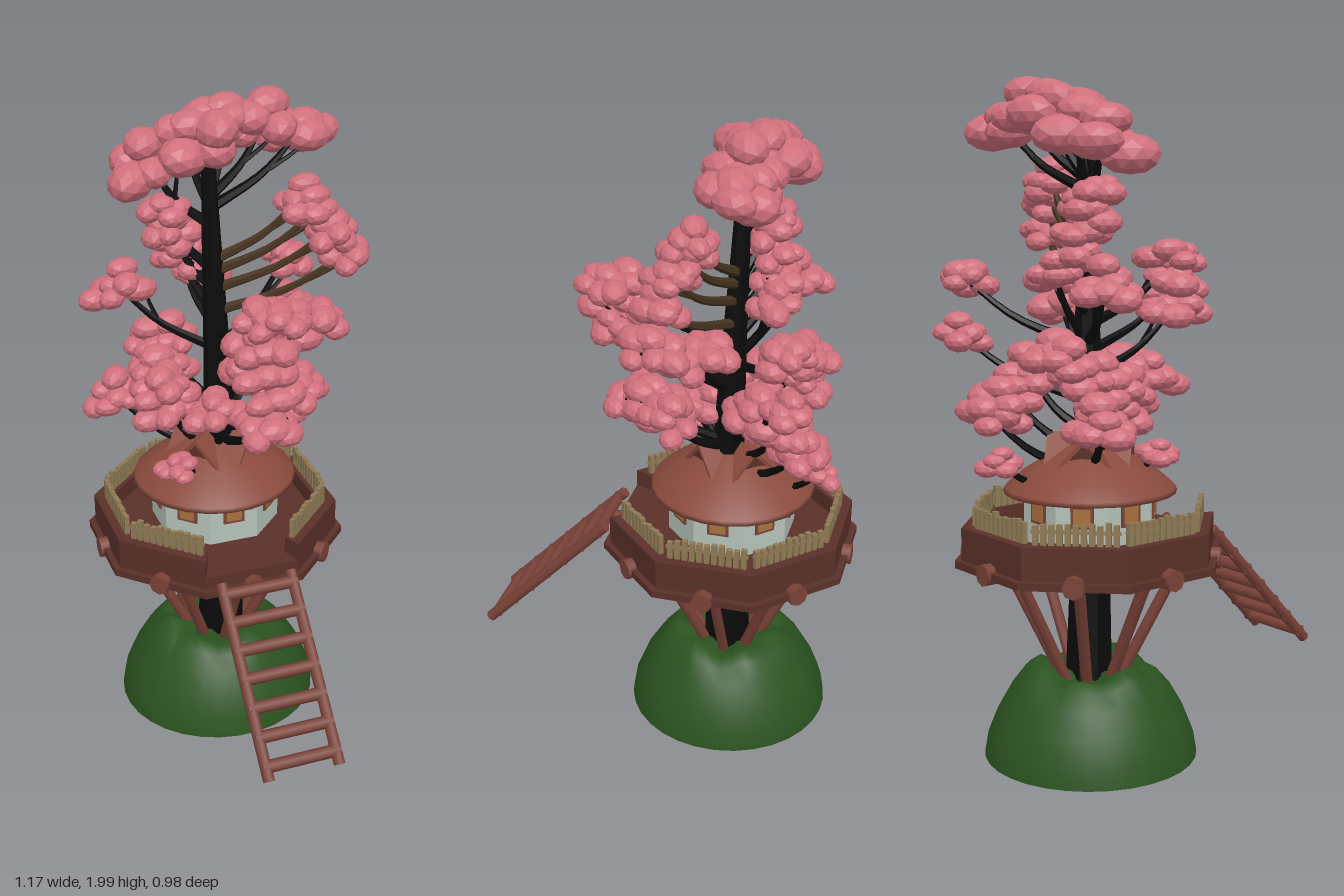
import * as THREE from 'three';
import { mergeGeometries } from 'three/addons/utils/BufferGeometryUtils.js';

const V = (x, y, z) => new THREE.Vector3(x, y, z);
const mat = (color, flatShading = false, side = THREE.FrontSide) =>
  new THREE.MeshStandardMaterial({ color, flatShading, side });
const outline = points => points.map(p => new THREE.Vector2(...p));

const CX = -0.18; // tree axis
const STEP = Math.PI / 4; // eight-sided house and platform

export function createModel() {
  const model = new THREE.Group();
  const wood = mat(0x7a4238), darkWood = mat(0x5a3029, true), bark = mat(0x0c0b0b, true);
  const twigBark = mat(0x46331f, true), pink = mat(0xcf6f7c, true), fenceMat = mat(0x8f7a55);
  const roofMat = mat(0x8a4a3d, false, THREE.DoubleSide), plaster = mat(0xb4c2b8, true), pane = mat(0xa8713c);

  let seed = 7;
  const rnd = () => (seed = (seed * 16807) % 2147483647) / 2147483647;

  function add(parent, geo, material, name, x = 0, y = 0, z = 0) {
    const m = new THREE.Mesh(geo, material);
    m.name = name;
    m.position.set(x, y, z);
    parent.add(m);
    return m;
  }
  function rod(parent, a, b, r, material, name) {
    const m = add(parent, new THREE.CylinderGeometry(r, r, a.distanceTo(b), 8), material, name);
    m.position.copy(a).lerp(b, 0.5);
    m.quaternion.setFromUnitVectors(V(0, 1, 0), b.clone().sub(a).normalize());
  }
  function extrude(points, depth) {
    return new THREE.ExtrudeGeometry(new THREE.Shape(outline(points)), { depth, bevelEnabled: false });
  }
  // Tube whose radius tapers from r0 to r1
  function taperedTube(points, r0, r1, segs, sides) {
    const curve = new THREE.CatmullRomCurve3(points);
    const geo = new THREE.TubeGeometry(curve, segs, 1, sides);
    const p = geo.attributes.position, c = V(), v = V();
    for (let i = 0; i < p.count; i++) {
      const t = Math.floor(i / (sides + 1)) / segs;
      curve.getPointAt(t, c);
      v.fromBufferAttribute(p, i).sub(c).multiplyScalar(r0 + (r1 - r0) * t).add(c);
      p.setXYZ(i, v.x, v.y, v.z);
    }
    geo.computeVertexNormals();
    return geo;
  }

  // Hollow hill with an uneven crest
  const hillGeo = new THREE.LatheGeometry(outline([[0.318, 0], [0.308, 0.06], [0.28, 0.13], [0.24, 0.2],
    [0.2, 0.25], [0.165, 0.272], [0.12, 0.255], [0.001, 0.23]]), 32);
  const hp = hillGeo.attributes.position;
  for (let i = 0; i < hp.count; i++) {
    const y = hp.getY(i), a = Math.atan2(hp.getZ(i), hp.getX(i));
    const w = Math.max(0, y - 0.18) / 0.09;
    hp.setY(i, y + w * (0.014 * Math.sin(a * 3 + 2) + 0.012 * Math.sin(a * 7)));
  }
  hillGeo.computeVertexNormals();
  add(model, hillGeo, mat(0x2b5320, false, THREE.DoubleSide), 'hill', CX);

  // Platform and house share one slightly turned frame
  const house = new THREE.Group();
  house.name = 'treeHouse';
  house.position.x = CX;
  house.rotation.y = -0.1;
  model.add(house);
  const octagon = (r, h, y, m, name) => add(house, new THREE.CylinderGeometry(r, r, h, 8), m, name, 0, y);
  octagon(0.405, 0.022, 0.604, darkWood, 'platformBase');
  octagon(0.35, 0.05, 0.632, darkWood, 'deck');
  octagon(0.2, 0.18, 0.735, plaster, 'houseWalls');

  const sin = Math.sin(STEP / 2), cos = Math.cos(STEP / 2);
  for (let k = 0; k < 8; k++) {
    const side = new THREE.Group(); // local +z points out of this face
    side.name = 'side' + (k + 1);
    side.rotation.y = (k + 0.5) * STEP;
    house.add(side);
    const isEntry = k === 1;

    // Mitred parapet, lower at the ladder
    const o = 0.385, n = 0.325;
    const wall = extrude([[-o * sin, -o * cos], [o * sin, -o * cos], [n * sin, -n * cos], [-n * sin, -n * cos]],
      isEntry ? 0.05 : 0.105);
    wall.rotateX(-Math.PI / 2);
    add(side, wall, darkWood, 'parapet', 0, 0.605);

    // Beam under the deck and strut down to the hill
    rod(side, V(0, 0.605, 0.15), V(0, 0.605, 0.384), 0.032, wood, 'floorBeam');
    rod(side, V(0, 0.16, 0.05), V(0, 0.6, 0.27), 0.017, wood, 'strut');

    // Picket fence
    if (!isEntry) {
      const fence = new THREE.Group();
      fence.name = 'fence';
      fence.position.z = 0.347 * cos;
      side.add(fence);
      add(fence, new THREE.BoxGeometry(0.25, 0.01, 0.008), fenceMat, 'rail', 0, 0.747);
      for (let i = -5; i <= 5; i++) {
        const h = 0.06 + rnd() * 0.014;
        add(fence, new THREE.BoxGeometry(0.016, h, 0.015), fenceMat, 'picket', i * 0.0225, 0.703 + h / 2);
      }
    }

    // Window
    add(side, new THREE.BoxGeometry(0.066, 0.066, 0.012), wood, 'windowFrame', 0, 0.757, 0.2 * cos);
    add(side, new THREE.BoxGeometry(0.05, 0.05, 0.016), pane, 'windowPane', 0, 0.757, 0.2 * cos);

    // Gabled dormer on every other face
    if (k % 2 === 0) {
      const chevron = [[-0.09, 0], [0, 0.095], [0.09, 0], [0.09, 0.016], [0, 0.111], [-0.09, 0.016]];
      add(side, extrude(chevron, 0.125), roofMat, 'dormerRoof', 0, 0.862);
      add(side, extrude([[-0.09, 0], [0.09, 0], [0, 0.095]], 0.01), darkWood, 'dormerGable', 0, 0.862, 0.1);
    }
  }

  // Rounded roof
  add(house, new THREE.LatheGeometry(outline([[0.18, 0.803], [0.255, 0.8], [0.25, 0.814], [0.205, 0.853],
    [0.15, 0.888], [0.08, 0.93], [0, 0.965]]), 24), roofMat, 'roof');

  // Ladder
  const ladder = new THREE.Group();
  ladder.name = 'ladder';
  ladder.rotation.y = 1.5 * STEP;
  house.add(ladder);
  const top = V(0, 0.645, 0.385), foot = V(0, 0.222, 0.795);
  for (const s of [-1, 1]) {
    const off = V(s * 0.11, 0, 0);
    rod(ladder, top.clone().add(off), foot.clone().add(off), 0.018, wood, 'ladderRail');
  }
  for (let i = 0; i < 7; i++) {
    const p = top.clone().lerp(foot, 0.06 + i * 0.145);
    rod(ladder, p.clone().setX(-0.122), p.clone().setX(0.122), 0.019, wood, 'rung');
  }

  // Trunk, swaying slightly with height
  const trunkAt = y => V(CX + 0.02 * Math.sin(y * 2.2), y, -0.01);
  const trunkPts = [0.15, 0.5, 0.9, 1.25, 1.55, 1.88].map(trunkAt);
  add(model, taperedTube(trunkPts, 0.077, 0.018, 24, 8), bark, 'trunk');

  // Branch and twig ending in a rounded dome of blossom puffs
  function blossom(c, r, density = 100, material = bark) {
    const start = trunkAt(Math.max(0.8, c.y - 0.2));
    const end = c.clone().add(V(0, -r * 0.2, 0));
    const bend = start.clone().lerp(end, 0.6).add(V(0, -0.03, 0));
    add(model, taperedTube([start, bend, end], 0.017, 0.007, 8, 6), material, 'branch');
    const tip = c.clone().add(V(r * 0.5, 0, -r * 0.5));
    const fork = bend.clone().lerp(tip, 0.5).add(V(0, -0.01, 0));
    add(model, taperedTube([bend, fork, tip], 0.008, 0.004, 5, 5), material, 'twig');

    const n = Math.max(5, Math.round(r * density)), size = 1.15 / Math.sqrt(n), turn = rnd() * 6;
    const puffs = [];
    for (let j = 0; j < n; j++) {
      const d = Math.sqrt((j + 0.3) / n), a = j * 2.4 + turn;
      const s = r * size * (1 + rnd() * 0.35), k = r * d * (1 - size * 0.55);
      const g = new THREE.IcosahedronGeometry(1, 1);
      g.scale(s * 0.95, s * 0.8, s * 1.25);
      g.rotateZ((rnd() - 0.5) * 0.6);
      g.rotateY(rnd() * 1.2 - 0.4);
      const lift = 0.36 - d * 0.75 + (rnd() - 0.5) * 0.45;
      g.translate(c.x + Math.cos(a) * k, c.y + r * lift, c.z + Math.sin(a) * k);
      puffs.push(g);
    }
    add(model, mergeGeometries(puffs), pink, 'blossomCluster');
  }
  // Row of clusters from a to b, arched upward
  function bough(a, b, r, count, arch = 0, density = 100, material = bark) {
    for (let i = 0; i < count; i++) {
      const t = i / (count - 1);
      blossom(a.clone().lerp(b, t).add(V(0, arch * Math.sin(t * Math.PI), 0)), r, density, material);
    }
  }
  bough(V(-0.32, 1.82, 0.1), V(-0.1, 1.87, -0.29), 0.115, 5, 0.065, 55); // crown
  bough(V(-0.01, 1.71, -0.2), V(0.11, 1.55, -0.27), 0.078, 4, 0.02, 90, twigBark); // upper right cascade
  bough(V(-0.3, 1.68, 0.07), V(-0.3, 1.5, 0), 0.078, 4); // upper left cascade
  bough(V(-0.22, 1.42, -0.375), V(-0.22, 1.26, -0.4), 0.078, 2); // back
  bough(V(-0.03, 1.34, -0.14), V(0.09, 1.37, -0.13), 0.115, 2); // middle right
  bough(V(0.17, 1.48, 0.12), V(0.12, 1.33, 0.14), 0.105, 3); // front right
  bough(V(-0.4, 1.23, 0), V(-0.28, 1.13, 0.12), 0.105, 3); // left
  bough(V(-0.45, 1.06, 0.16), V(-0.1, 1.08, 0.07), 0.09, 3); // low front
  bough(V(0.05, 1.14, -0.13), V(0.1, 1.12, 0.08), 0.1, 3, 0.03); // low right
  bough(V(-0.2, 1.16, -0.18), V(-0.32, 1.04, -0.25), 0.1, 3); // low back
  blossom(V(-0.42, 1.43, 0.15), 0.095);
  blossom(V(-0.28, 1.44, -0.06), 0.08);
  blossom(V(-0.14, 0.93, 0.2), 0.062, 150);
  blossom(V(-0.41, 0.91, -0.18), 0.055);

  return model;
}
